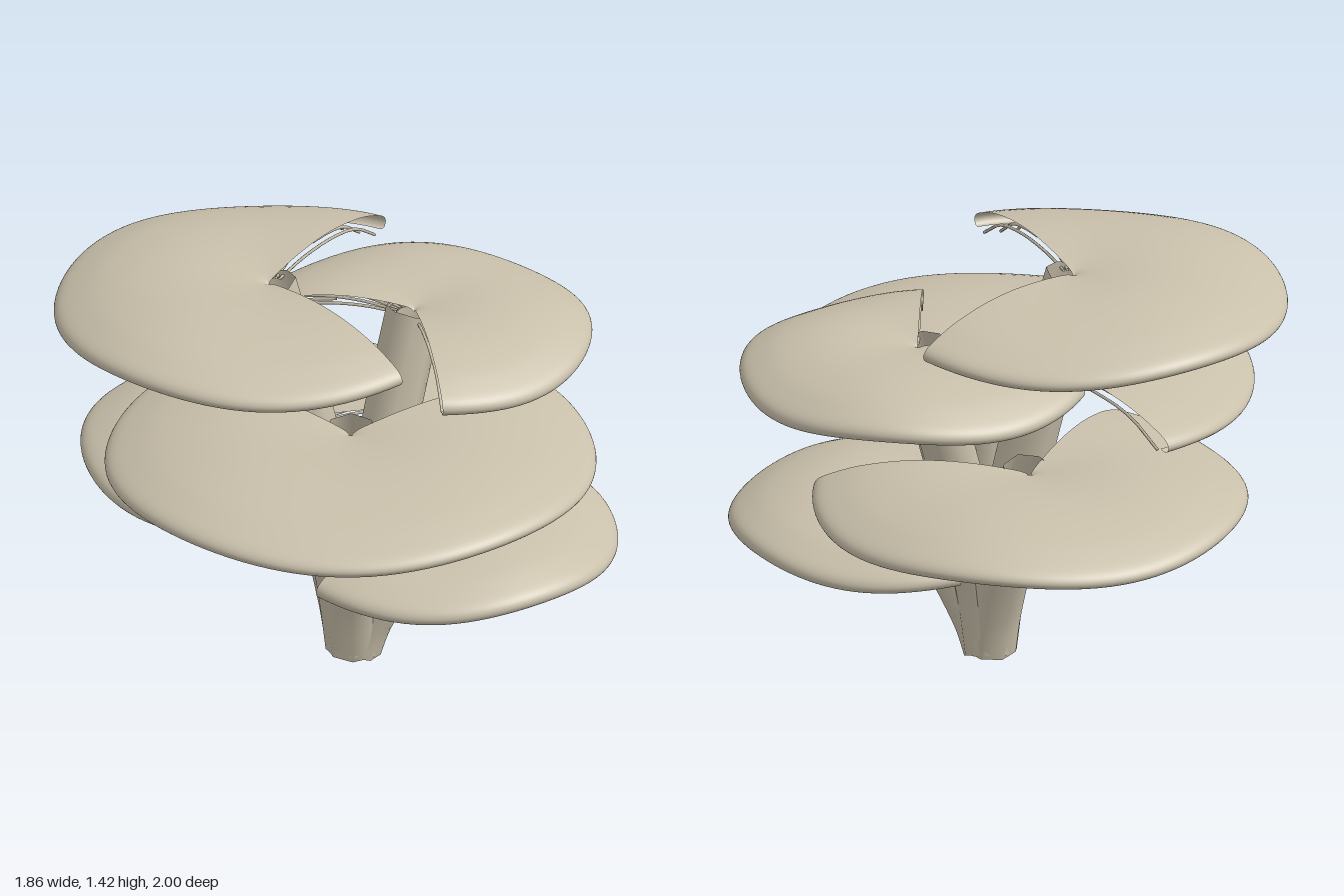
import * as THREE from 'three';
import { mergeGeometries } from 'three/addons/utils/BufferGeometryUtils.js';

const BASE = { x: 0.045, z: -0.1 };  // shared foot of the cluster
const REACH = 0.283;                 // how far each stem leans out
const HALF = THREE.MathUtils.degToRad(126); // half of the open cap sector
const TURN = THREE.MathUtils.degToRad(137.5);
const RADII = [0.592, 0.72, 0.812, 0.588, 0.708]; // lowest cap to highest

// Gentle ripple of the cap, growing towards the rim (a = angle from the cap axis)
const ripple = (s, a) => -0.013 * s * s * Math.cos(4 * a);

// Cap profile from the curled rim to the central dimple: [share of radius, height]
const capProfile = new THREE.SplineCurve([
  [0.95, -0.132], [0.982, -0.138], [1, -0.118], [0.975, -0.092], [0.9, -0.066],
  [0.78, -0.036], [0.6, -0.01], [0.42, 0], [0.25, -0.004], [0.1, -0.016],
  [0.03, -0.026], [0.003, -0.038],
].map(([r, y]) => new THREE.Vector2(r, y)));

function capGeometry(radius) {
  const pts = capProfile.getPoints(44).map(p => new THREE.Vector2(p.x * radius, p.y));
  const geo = new THREE.LatheGeometry(pts, 72, Math.PI / 2 - HALF, 2 * HALF);
  const pos = geo.attributes.position;
  for (let i = 0; i < pos.count; i++) {
    const x = pos.getX(i), z = pos.getZ(i);
    pos.setY(i, pos.getY(i) + ripple(Math.hypot(x, z) / radius, Math.atan2(z, x)));
  }
  geo.computeVertexNormals();
  return geo;
}

// Thin radial ribs under the cap, every second one shorter
function gillGeometry(radius) {
  const count = 48, ribs = [];
  const long = [[0.1, -0.045], [0.3, -0.03], [0.55, -0.036], [0.75, -0.068], [0.92, -0.145]];
  const short = [[0.45, -0.026], [0.6, -0.042], [0.76, -0.074], [0.92, -0.148]];
  for (let i = 0; i <= count; i++) {
    const a = (i / count * 2 - 1) * HALF * 0.995;
    const path = (i % 2 ? short : long).map(([s, y]) => new THREE.Vector3(
      Math.cos(a) * s * radius, y + ripple(s, a), Math.sin(a) * s * radius));
    ribs.push(new THREE.TubeGeometry(new THREE.CatmullRomCurve3(path), 12, 0.0055, 5));
  }
  return mergeGeometries(ribs);
}

// Stem bending outwards along +x as it rises
function stemGeometry(height) {
  const path = [];
  for (let i = 0; i <= 6; i++) {
    const t = i / 6;
    path.push(new THREE.Vector3(REACH * Math.pow(t, 1.3), 0.025 + t * (height - 0.025), 0));
  }
  return new THREE.TubeGeometry(new THREE.CatmullRomCurve3(path), 20, 0.094, 8);
}

export function createModel() {
  const model = new THREE.Group();
  model.name = 'mushroomCluster';
  const flesh = new THREE.MeshStandardMaterial({ color: 0xc9c0ab, side: THREE.DoubleSide });
  flesh.name = 'pale beige';

  const add = (parent, name, geo) => {
    const mesh = new THREE.Mesh(geo, flesh);
    mesh.name = name;
    parent.add(mesh);
    return mesh;
  };

  RADII.forEach((radius, i) => {
    const peak = 0.57 + i * 0.21;
    const mushroom = new THREE.Group();
    mushroom.name = 'mushroom' + (i + 1);
    mushroom.position.set(BASE.x, 0, BASE.z);
    mushroom.rotation.y = i * TURN; // spiral arrangement up the cluster

    add(mushroom, 'stem', stemGeometry(peak - 0.034));
    add(mushroom, 'cap', capGeometry(radius)).position.set(REACH, peak, 0);
    add(mushroom, 'gills', gillGeometry(radius)).position.set(REACH, peak, 0);
    model.add(mushroom);
  });
  return model;
}
